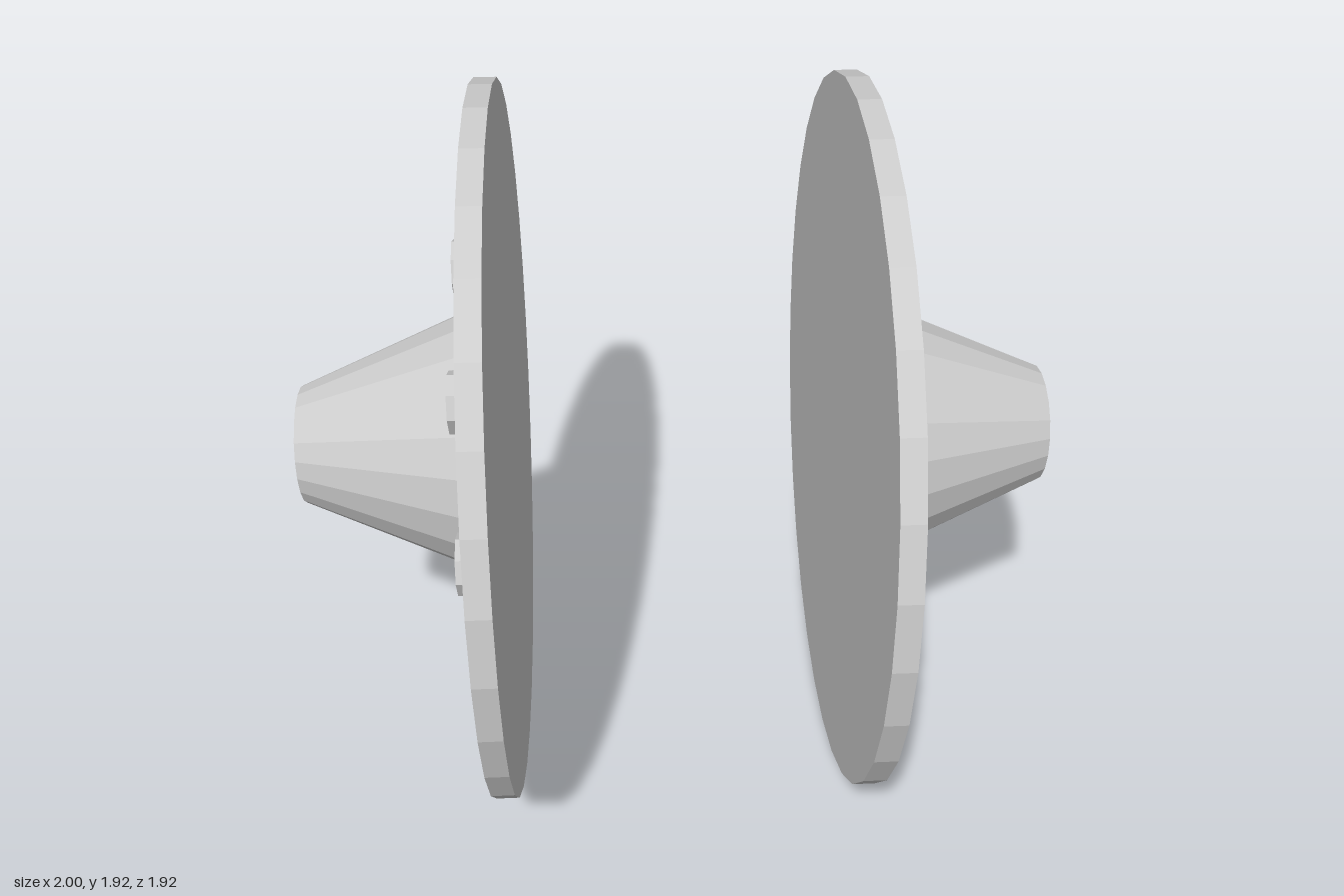
import * as THREE from 'three';

const AXLE_Y = 0.96;

export function createModel() {
  const group = new THREE.Group();
  const steel = new THREE.MeshStandardMaterial({ color: 0xcccccc, flatShading: true });
  steel.name = 'lightGrey';

  // Faceted cylinder along x, from innerX to outerX (mirrored by side)
  function addRound(parent, name, side, rInner, rOuter, innerX, outerX, sides, y = 0, z = 0) {
    const geo = new THREE.CylinderGeometry(rOuter, rInner, outerX - innerX, sides);
    geo.rotateZ(-side * Math.PI / 2);
    const mesh = new THREE.Mesh(geo, steel);
    mesh.name = name;
    mesh.position.set(side * (innerX + outerX) / 2, y, z);
    parent.add(mesh);
  }

  for (const side of [1, -1]) {
    const wheel = new THREE.Group();
    wheel.name = side > 0 ? 'leftFlange' : 'rightFlange';
    wheel.position.y = AXLE_Y;

    // Thin disc and tapered hub
    addRound(wheel, 'disc', side, 0.96, 0.96, 0.44, 0.5, 32);
    addRound(wheel, 'hubCone', side, 0.374, 0.16, 0.5, 1, 20);

    // Ring of eight bolts
    for (let i = 0; i < 8; i++) {
      const a = i * Math.PI / 4;
      addRound(wheel, 'bolt', side, 0.078, 0.078, 0.5, 0.556, 8,
        0.528 * Math.cos(a), 0.528 * Math.sin(a));
    }
    group.add(wheel);
  }
  return group;
}
